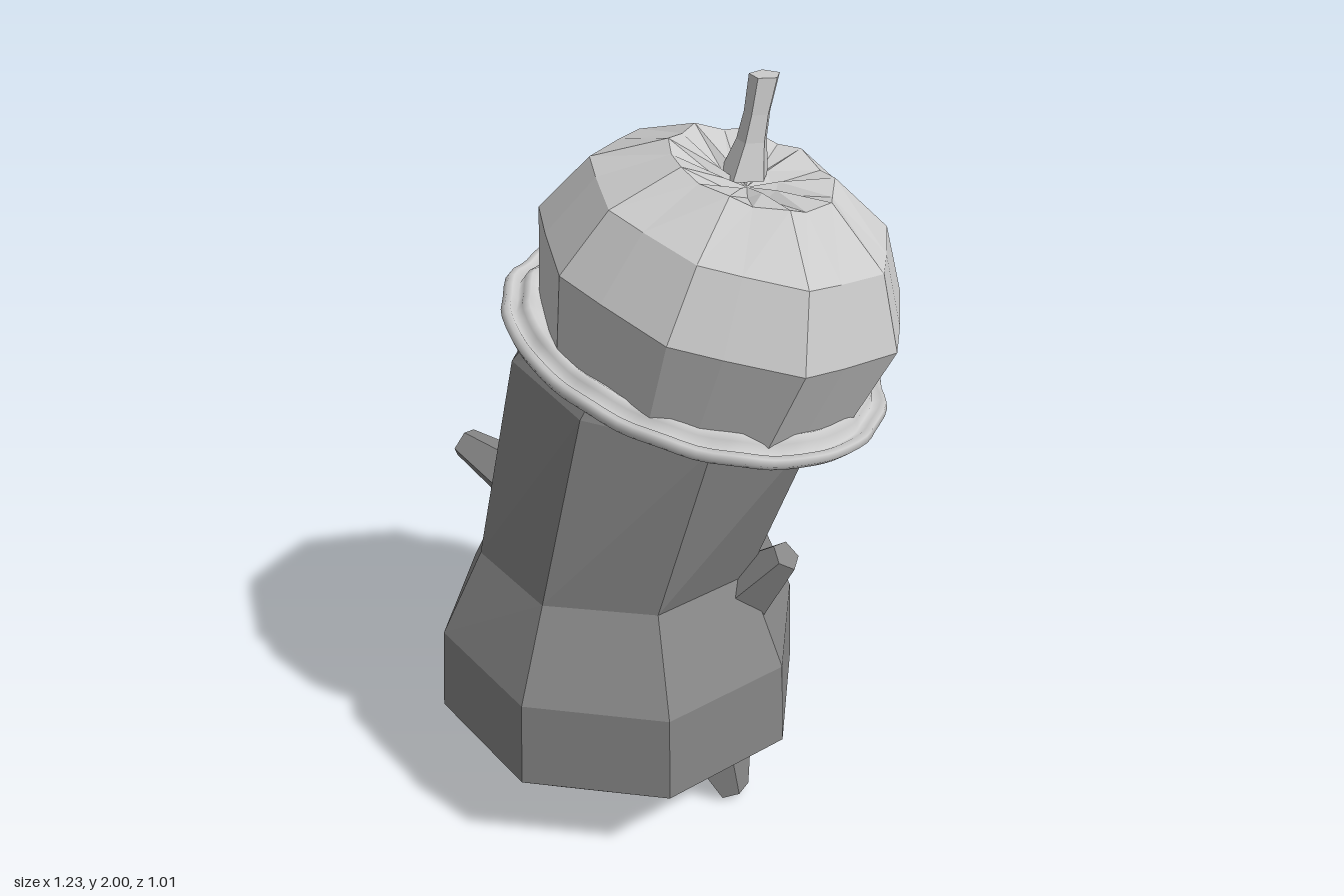
import * as THREE from 'three';

const light = new THREE.MeshStandardMaterial({ color: 0xcccccc, flatShading: true });
const dark = new THREE.MeshStandardMaterial({ color: 0x868686, flatShading: true });
const smooth = new THREE.MeshStandardMaterial({ color: 0xcccccc });

// Skin a stack of rings; point(row, angle, column) gives each vertex [x, y, z]
function loft(rows, sides, point) {
  const pos = [], index = [];
  for (let i = 0; i < rows; i++) {
    for (let j = 0; j < sides; j++) pos.push(...point(i, (j / sides) * Math.PI * 2, j));
  }
  for (let i = 0; i < rows - 1; i++) {
    for (let j = 0; j < sides; j++) {
      const a = i * sides + j, b = i * sides + ((j + 1) % sides);
      index.push(a, a + sides, b, b, a + sides, b + sides);
    }
  }
  const g = new THREE.BufferGeometry();
  g.setAttribute('position', new THREE.Float32BufferAttribute(pos, 3));
  g.setIndex(index);
  g.computeVertexNormals();
  return g;
}

function add(parent, name, geometry, material) {
  const m = new THREE.Mesh(geometry, material);
  m.name = name;
  parent.add(m);
  return m;
}

// Tapered five-sided stub running from one point to another
function stub(parent, name, from, to, r0, r1) {
  const a = new THREE.Vector3(...from), b = new THREE.Vector3(...to);
  const dir = b.clone().sub(a);
  const m = add(parent, name, new THREE.CylinderGeometry(r1, r0, dir.length(), 5), dark);
  m.position.copy(a).add(b).multiplyScalar(0.5);
  m.quaternion.setFromUnitVectors(new THREE.Vector3(0, 1, 0), dir.normalize());
  return m;
}

export function createModel() {
  const group = new THREE.Group();

  // Leaning eight-sided body: centre x, y, z, radius x, radius z, rise per unit x, twist
  const rings = [
    [-0.11, 0.07, 0, 0, 0, 0, 0],
    [-0.09, 0.125, 0.01, 0.33, 0.34, -0.03, 0],
    [-0.105, 0.255, 0, 0.505, 0.505, -0.03, 0],
    [-0.1, 0.5, 0.005, 0.49, 0.49, -0.03, 0],
    [-0.11, 0.73, -0.02, 0.38, 0.39, -0.02, 0],
    [0.015, 1.235, -0.065, 0.425, 0.355, -0.1, 0.12],
    [0.06, 1.38, -0.06, 0.34, 0.28, -0.18, 0.12],
    [0.08, 1.42, -0.05, 0, 0, 0, 0],
  ];
  add(group, 'body', loft(rings.length, 8, (i, t) => {
    const [x, y, z, rx, rz, tilt, twist] = rings[i];
    const dx = rx * Math.cos(t + twist);
    return [x + dx, y + dx * tilt, z + rz * Math.sin(t + twist)];
  }), dark);

  // Arms and feet
  stub(group, 'rightArm', [-0.4, 0.82, 0.015], [-0.595, 0.89, 0.015], 0.085, 0.044);
  stub(group, 'leftArm', [0.22, 0.63, -0.045], [0.365, 0.8, -0.042], 0.108, 0.042);
  for (const [name, x0, x1] of [['rightFoot', -0.385, -0.425], ['leftFoot', 0.205, 0.265]]) {
    const foot = stub(group, name, [x0, 0.18, 0.005], [x1, 0.012, 0.012], 0.085, 0.036);
    foot.scale.z = 1.35;
  }

  // Tilted cap
  const cap = new THREE.Group();
  cap.name = 'cap';
  cap.position.set(0.09, 1.335, -0.045);
  cap.rotation.z = -0.262;
  group.add(cap);

  // Lobed dome with a pleated, dimpled crown: radius, height, pleat depth
  const dome = [[0, 0.02, 0], [0.41, 0, 0], [0.456, 0.24, 0], [0.365, 0.405, 0],
    [0.2, 0.507, 0.012], [0.07, 0.475, 0.02], [0, 0.45, 0]];
  add(cap, 'dome', loft(dome.length, 18, (i, t, j) => {
    const [r, y, pleat] = dome[i];
    const crease = j % 2;
    const k = r * (crease ? 0.965 : 1.015);
    // creases sit close to the next lobe, giving wide and narrow facets in turn
    const a = t + crease * 0.07;
    return [0.02 + k * Math.cos(a), y - crease * pleat, 0.015 + 0.9 * k * Math.sin(a)];
  }), light);

  // Gently wavy brim: flat underside, two ridges with a groove between
  const edge = [[0.37, 0.01], [0.38, -0.02], [0.44, -0.028], [0.486, -0.022], [0.497, -0.006],
    [0.49, 0.01], [0.476, 0.012], [0.458, -0.006], [0.448, 0.022], [0.432, 0.034], [0.415, 0.026],
    [0.37, 0.01]];
  add(cap, 'brim', loft(edge.length, 80, (i, t) => {
    const [r, y] = edge[i];
    const w = 0.005 * Math.sin(16 * t);
    const k = r + 0.8 * w;
    return [k * Math.cos(t), y + w, 0.885 * k * Math.sin(t)];
  }), smooth);

  // Stem flaring at the root: centre x, y, z, radius
  const stem = [[0.205, 1.78, -0.06, 0.06], [0.212, 1.86, -0.08, 0.037], [0.216, 1.92, -0.095, 0.032],
    [0.22, 2.0, -0.118, 0.037], [0.22, 2.0, -0.118, 0]];
  add(group, 'stem', loft(stem.length, 5, (i, t) => {
    const [x, y, z, r] = stem[i];
    return [x + r * Math.cos(t + 0.3), y, z + r * Math.sin(t + 0.3)];
  }), light);

  return group;
}
